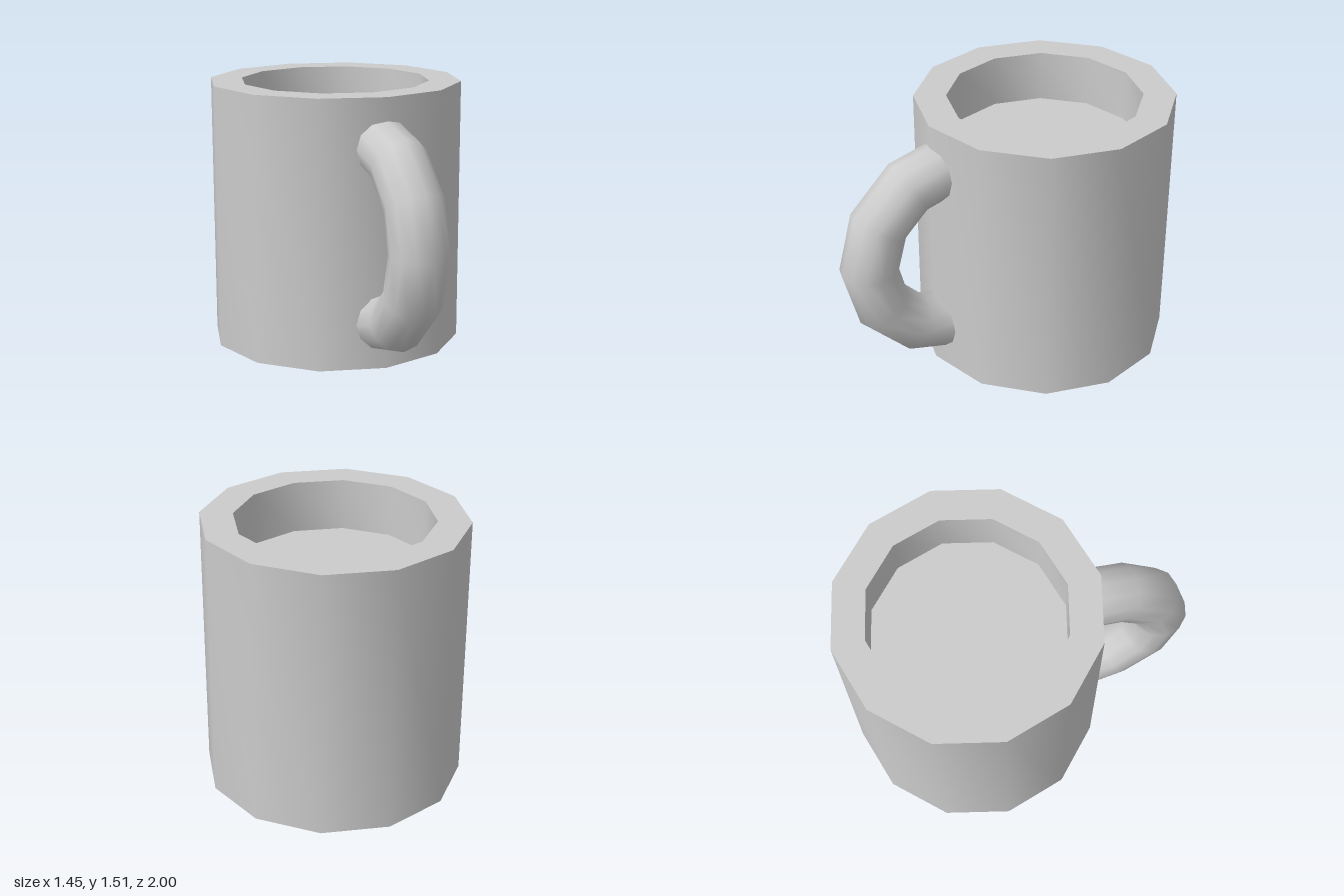
import * as THREE from 'three';
import { toCreasedNormals } from 'three/addons/utils/BufferGeometryUtils.js';

const SIDES = 12;

export function createModel() {
  const model = new THREE.Group();
  model.name = 'mug';
  const material = new THREE.MeshStandardMaterial({ color: 0xcccccc });

  // Cup: outer wall, thick rim and the shallow hollow, as one lathed profile
  const profile = [
    [0, 0], [0.724, 0], [0.724, 1.513], [0.543, 1.513], [0.543, 1.22], [0, 1.22],
  ].map(([r, y]) => new THREE.Vector2(r, y));
  const cupGeometry = toCreasedNormals(new THREE.LatheGeometry(profile, SIDES), 0.7);
  const cup = new THREE.Mesh(cupGeometry, material);
  cup.name = 'cup';
  cup.position.z = -0.277;
  model.add(cup);

  // Handle: half ring on the front, its ends sunk into the wall
  const handleGeometry = new THREE.TorusGeometry(0.508, 0.162, SIDES, SIDES / 2, Math.PI);
  handleGeometry.rotateZ(-Math.PI / 2).rotateY(-Math.PI / 2);
  const handle = new THREE.Mesh(handleGeometry, material);
  handle.name = 'handle';
  handle.position.set(0, 0.745, 0.33);
  model.add(handle);

  return model;
}
